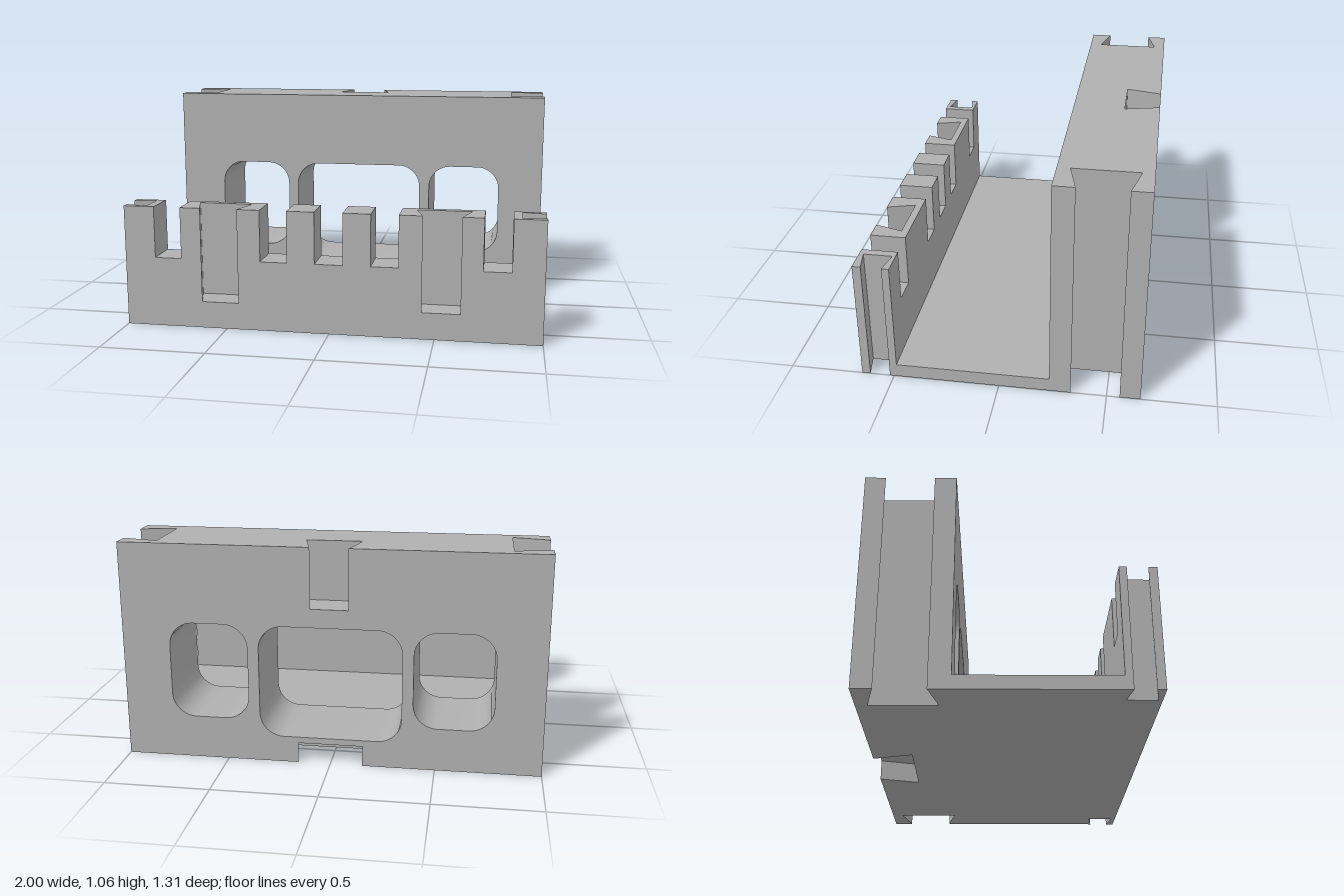
import * as THREE from 'three';
import { mergeGeometries, toCreasedNormals } from 'three/addons/utils/BufferGeometryUtils.js';

const BACK = -0.655, BACK_IN = -0.235, FRONT_IN = 0.485, FRONT = 0.655;
const TOP = 1.06, FRONT_TOP = 0.59, FLOOR = 0.065, NOTCH_Y = 0.34, SLOT_Y = 0.13;

// 2D coordinates are (x, y) on axis z, (x, z) on axis y and (z, y) on axis x
const place = {
  z: (u, v, d) => [u, v, d],
  y: (u, v, d) => [u, d, v],
  x: (u, v, d) => [d, v, u],
};

function sheet(positions, flip) {
  if (flip) {
    for (let i = 0; i < positions.length; i += 3) {
      [positions[i + 1], positions[i + 2]] = [positions[i + 2], positions[i + 1]];
    }
  }
  const g = new THREE.BufferGeometry();
  g.setAttribute('position', new THREE.Float32BufferAttribute(positions.flat(), 3));
  g.computeVertexNormals();
  return g;
}

const vectors = pts => pts.map(p => new THREE.Vector2(...p));

// Flat face across an axis, looking along sign
function face(axis, d, sign, outline, holes = []) {
  const shape = new THREE.Shape(vectors(outline));
  shape.holes = holes.map(h => new THREE.Path(vectors(h)));
  const flat = new THREE.ShapeGeometry(shape).toNonIndexed().attributes.position;
  const out = [];
  for (let i = 0; i < flat.count; i++) out.push(place[axis](flat.getX(i), flat.getY(i), d));
  return sheet(out, (axis === 'z') !== (sign > 0));
}

// Wall swept along an axis from a to b, with the solid on the left of the path
function strip(axis, a, b, pts) {
  const out = [];
  for (let i = 0; i + 1 < pts.length; i++) {
    const at = (p, d) => place[axis](p[0], p[1], d);
    const [p, q] = [pts[i], pts[i + 1]];
    out.push(at(p, a), at(q, a), at(q, b), at(p, a), at(q, b), at(p, b));
  }
  return sheet(out, axis !== 'z');
}

const mirror = pts => pts.map(([u, v]) => [-u, v]).reverse();
const both = pts => [pts, mirror(pts)];
const rect = (u0, v0, u1, v1) => [[u0, v0], [u1, v0], [u1, v1], [u0, v1]];

function roundedRect(u0, v0, u1, v1, r) {
  const pts = [];
  [[u1 - r, v0 + r], [u1 - r, v1 - r], [u0 + r, v1 - r], [u0 + r, v0 + r]].forEach(([cu, cv], k) => {
    for (let i = 0; i <= 10; i++) {
      const t = (k - 1 + i / 10) * Math.PI / 2;
      pts.push([cu + r * Math.cos(t), cv + r * Math.sin(t)]);
    }
  });
  return pts;
}

export function createModel() {
  const grey = new THREE.MeshStandardMaterial({ color: 0xb0b0b0 });
  grey.name = 'grey';
  const model = new THREE.Group();
  model.name = 'slottedBracket';
  const part = (name, pieces) => {
    const mesh = new THREE.Mesh(toCreasedNormals(mergeGeometries(pieces), 0.5), grey);
    mesh.name = name;
    model.add(mesh);
  };

  // Dovetail sections in plan
  const backEnd = [[1, BACK], [1, -0.56], [0.825, -0.6], [0.825, -0.295], [1, -0.335]];
  const frontEnd = [[1, 0.52], [0.89, 0.5], [0.89, 0.635], [1, 0.615], [1, FRONT]];
  const topSlot = [[-0.09, BACK], [-0.133, -0.485], [0.133, -0.485], [0.09, BACK]];
  const baseSlot = [[-0.155, BACK], [-0.21, -0.46], [0.21, -0.46], [0.155, BACK]];
  const frontSlot = [[0.62, FRONT], [0.66, 0.52], [0.4, 0.52], [0.44, FRONT]];

  // Back wall with three rounded windows and dovetails
  const windows = [
    roundedRect(-0.77, 0.21, -0.393, 0.68, 0.115),
    roundedRect(-0.34, 0.13, 0.34, 0.68, 0.115),
    roundedRect(0.393, 0.21, 0.77, 0.68, 0.115),
  ];
  const backOutline = [
    [-1, 0], [-0.155, 0], [-0.155, 0.1], [0.155, 0.1], [0.155, 0], [1, 0],
    [1, TOP], [0.09, TOP], [0.09, 0.77], [-0.09, 0.77], [-0.09, TOP], [-1, TOP],
  ];
  part('backWall', [
    face('z', BACK_IN, 1, rect(-1, FLOOR, 1, TOP), windows),
    face('z', BACK, -1, backOutline, windows),
    face('y', TOP, 1, [...topSlot, ...backEnd, [1, BACK_IN], [-1, BACK_IN], ...mirror(backEnd)]),
    ...both(backEnd).map(e => strip('y', 0, TOP, e)),
  ]);
  part('windowLinings', windows.map(w => strip('z', BACK, BACK_IN, [...w, w[0]].reverse())));
  part('topDovetailSlot', [strip('y', 0.77, TOP, topSlot), face('y', 0.77, 1, topSlot)]);
  part('baseDovetailSlot', [strip('y', 0, 0.1, baseSlot), face('y', 0.1, -1, baseSlot)]);

  // Front wall with five notches between its teeth
  const notch = (a, b) => [[b, FRONT_TOP], [b, NOTCH_Y], [a, NOTCH_Y], [a, FRONT_TOP]];
  const outer = notch(0.72, 0.85), inner = notch(0.2, 0.33), middle = notch(-0.067, 0.067);
  const slotFront = [[0.62, FRONT_TOP], [0.62, SLOT_Y], [0.44, SLOT_Y], [0.44, FRONT_TOP]];
  const frontOutline = (y0, slot) => [
    [-1, y0], [1, y0], [1, FRONT_TOP], ...outer, ...slot, ...inner, ...middle,
    ...mirror(inner), ...mirror(slot), ...mirror(outer), [-1, FRONT_TOP],
  ];
  const toothTops = [
    [[0.85, FRONT_IN], [1, FRONT_IN], ...frontEnd, [0.85, FRONT]],
    [[0.33, FRONT_IN], [0.72, FRONT_IN], [0.72, FRONT], ...frontSlot, [0.33, FRONT]],
    rect(0.067, FRONT_IN, 0.2, FRONT),
  ];
  part('frontWall', [
    face('z', FRONT, 1, frontOutline(0, slotFront)),
    face('z', FRONT_IN, -1, frontOutline(FLOOR, [])),
    ...toothTops.flatMap(both).map(t => face('y', FRONT_TOP, 1, t)),
    ...both(frontEnd).map(e => strip('y', 0, FRONT_TOP, e)),
  ]);
  part('wallNotches', [...both(outer), ...both(inner), middle].map(n => strip('z', FRONT_IN, FRONT, n)));
  part('frontDovetailSlots', both(frontSlot).flatMap(s => [
    strip('y', SLOT_Y, FRONT_TOP, s), face('y', SLOT_Y, 1, s),
  ]));

  // Floor, underside and U-shaped ends
  const end = [
    [-0.335, 0], [0.52, 0], [0.52, FRONT_TOP], [FRONT_IN, FRONT_TOP],
    [FRONT_IN, FLOOR], [BACK_IN, FLOOR], [BACK_IN, TOP], [-0.335, TOP],
  ];
  part('floor', [face('y', FLOOR, 1, rect(-1, BACK_IN, 1, FRONT_IN))]);
  part('underside', [
    face('y', 0, -1, [...baseSlot, ...backEnd, ...frontEnd, ...mirror(frontEnd), ...mirror(backEnd)]),
  ]);
  part('ends', [face('x', 1, 1, end), face('x', -1, -1, end)]);
  return model;
}
